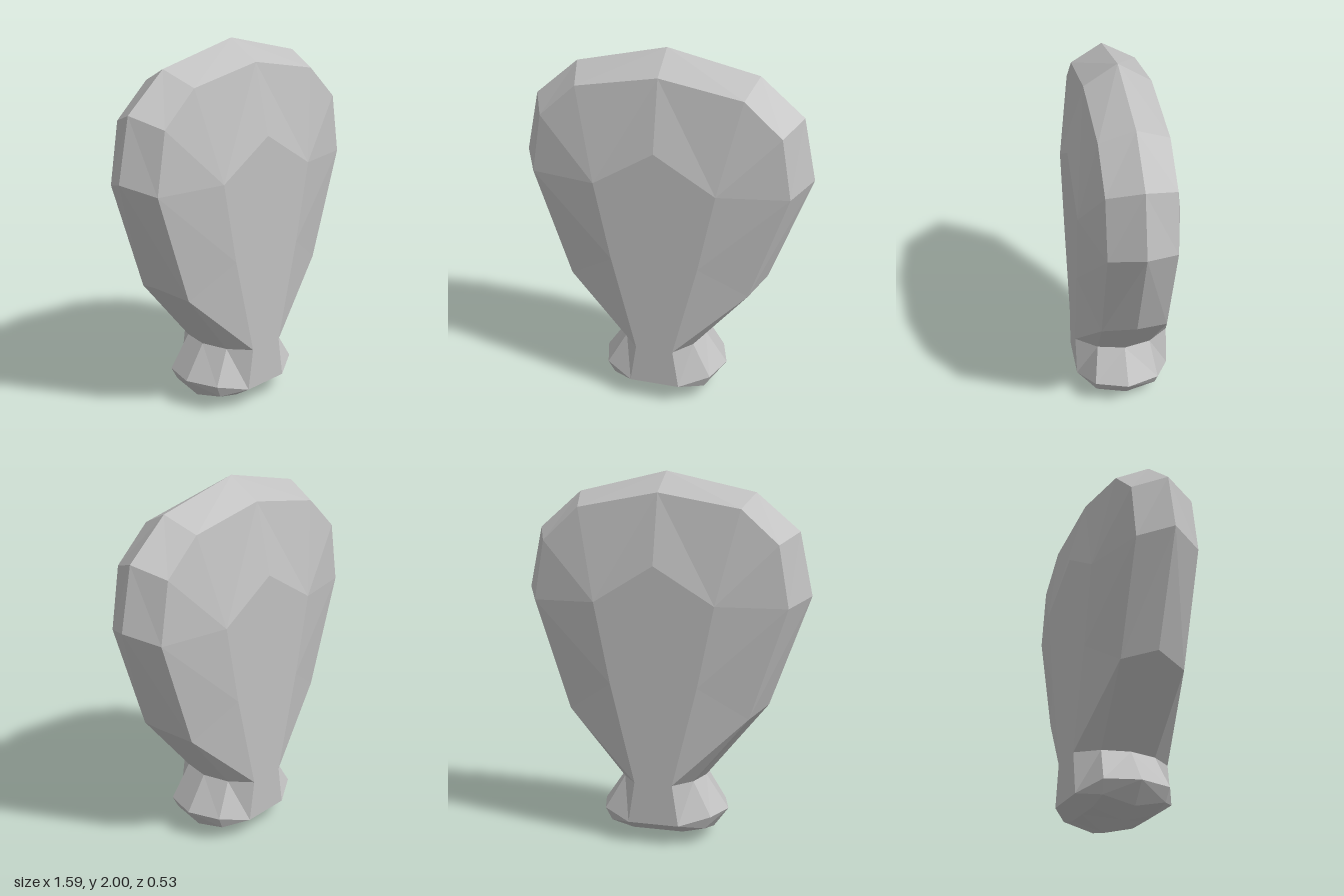
import * as THREE from 'three';

// Stations run from the crown down to the base along one half of the outline.
// Each holds three points [x, y, z]: rim (middle plane), bevel edge, flat face edge.
const D = 0.265;
const stations = [
  [[0, 2, 0], [0, 1.89, 0.175], [0, 1.515, D]],
  [[0.49, 1.89, 0], [0.445, 1.81, 0.175], [0.33, 1.315, D]],
  [[0.725, 1.69, 0], [0.645, 1.63, 0.175], [0.33, 1.315, D]],
  [[0.795, 1.355, 0], [0.7, 1.305, 0.175], [0.33, 1.315, D]],
  [[0.575, 0.76, 0], [0.5, 0.71, 0.175], [0.24, 0.88, D]],
  [[0.23, 0.34, 0], [0.195, 0.34, 0.15], [0.105, 0.34, D]],
  [[0.357, 0.155, 0], [0.3, 0.155, 0.18], [0.14, 0.115, D]],
  [[0.275, 0.045, 0], [0.265, 0.085, 0.17], [0.14, 0.115, D]],
  [[0.13, 0.01, 0], [0.14, 0.055, 0.172], [0.14, 0.115, D]],
  [[0, 0, 0], [0, 0.055, 0.172], [0, 0.115, D]],
];

// Skins one quarter of the body, mirrored by the signs sx and sz
function addQuarter(out, sx, sz) {
  const rows = stations.map(row => {
    const inner = row[2];
    return [...row, [0, inner[1], inner[2]]].map(
      ([x, y, z]) => new THREE.Vector3(x * sx, y, z * sz));
  });
  const tri = (a, b, c) => {
    if (new THREE.Triangle(a, b, c).getArea() < 1e-6) return;
    const order = sx * sz > 0 ? [a, b, c] : [a, c, b];
    for (const p of order) out.push(p.x, p.y, p.z);
  };
  for (let i = 0; i < rows.length - 1; i++) {
    for (let j = 0; j < 3; j++) {
      const a = rows[i][j], b = rows[i][j + 1];
      const c = rows[i + 1][j + 1], d = rows[i + 1][j];
      tri(a, b, c);
      tri(a, c, d);
    }
  }
}

export function createModel() {
  const group = new THREE.Group();
  group.name = 'facetedPaddle';

  const grey = new THREE.MeshStandardMaterial({ color: 0xc0c0c0, flatShading: true });
  grey.name = 'light grey';

  // Whole body: four mirrored quarters with separate faces for crisp facets
  const positions = [];
  for (const sx of [1, -1]) for (const sz of [1, -1]) addQuarter(positions, sx, sz);
  const geometry = new THREE.BufferGeometry();
  geometry.setAttribute('position', new THREE.Float32BufferAttribute(positions, 3));
  geometry.computeVertexNormals();

  const body = new THREE.Mesh(geometry, grey);
  body.name = 'body';
  group.add(body);
  return group;
}
